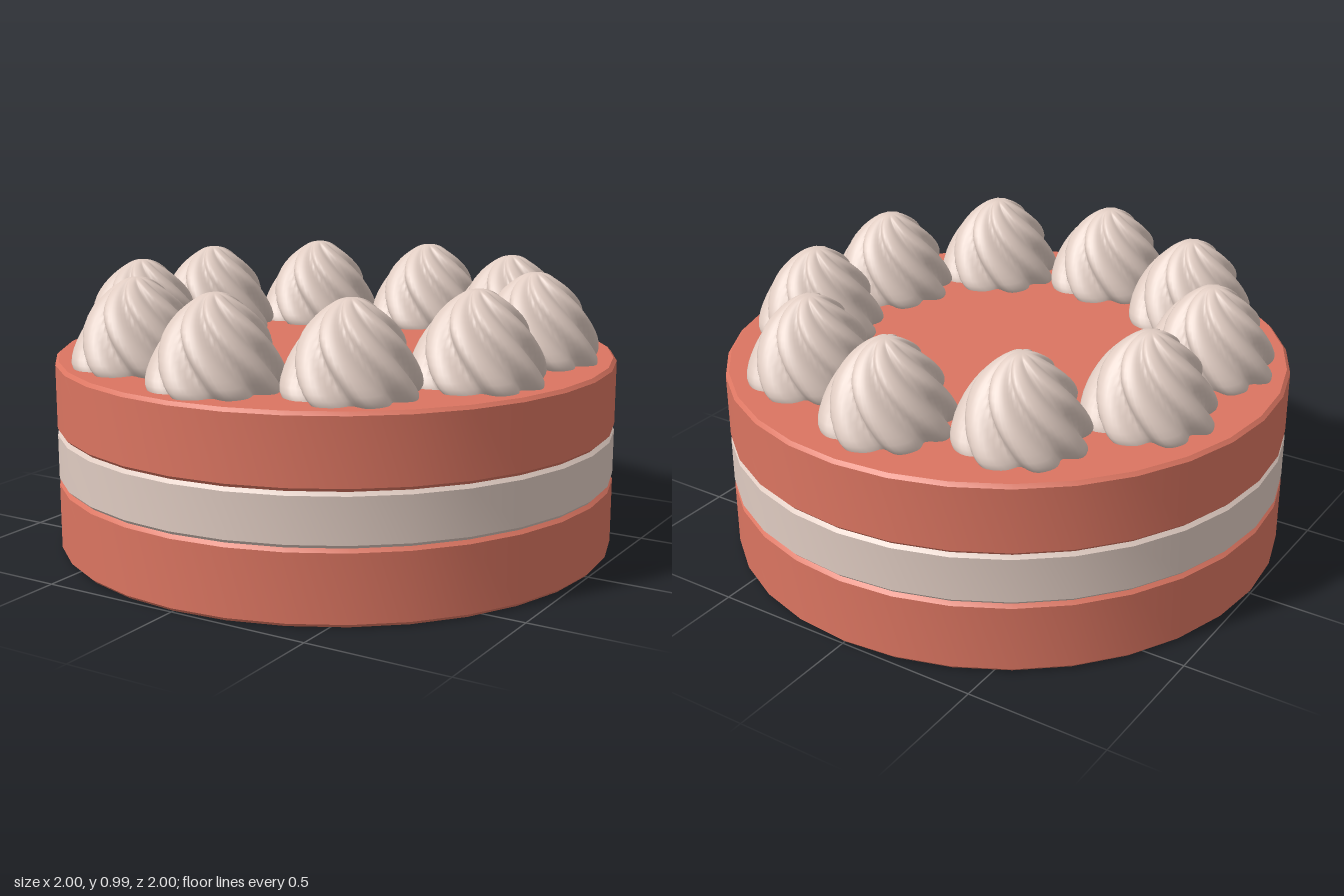
import * as THREE from 'three';
import { mergeVertices, toCreasedNormals } from 'three/addons/utils/BufferGeometryUtils.js';

const sponge = new THREE.MeshStandardMaterial({ color: 0xdb7561 });
sponge.name = 'red sponge';
const cream = new THREE.MeshStandardMaterial({ color: 0xdfcbc1 });
cream.name = 'cream';

// Round cake layer with a small bevel on both rims
function makeLayer(name, y0, y1, material) {
  const b = 0.012;
  const profile = [[0, y0], [1 - b, y0], [1, y0 + b], [1, y1 - b], [1 - b, y1], [0, y1]]
    .map(([r, y]) => new THREE.Vector2(r, y));
  const mesh = new THREE.Mesh(toCreasedNormals(new THREE.LatheGeometry(profile, 32), 0.6), material);
  mesh.name = name;
  return mesh;
}

// Piped swirl: a dome with eight ridges that wind down from the tip
function makeSwirlGeometry() {
  const outline = new THREE.SplineCurve([
    [0.215, -0.01], [0.228, 0.03], [0.205, 0.11], [0.165, 0.19],
    [0.115, 0.25], [0.065, 0.29], [0.03, 0.307], [0, 0.31],
  ].map(([r, y]) => new THREE.Vector2(r, y)));
  const geometry = new THREE.LatheGeometry(outline.getPoints(24), 96);
  const pos = geometry.attributes.position;
  for (let i = 0; i < pos.count; i++) {
    const x = pos.getX(i), y = pos.getY(i), z = pos.getZ(i);
    const r = Math.hypot(x, z);
    const down = 1 - y / 0.31;
    const twist = 0.9 * down + 0.8 * Math.sqrt(Math.max(down, 0));
    const a = 8 * (Math.atan2(x, z) - twist);
    // Broad, slightly leaning ridges with narrow grooves
    const ridge = 0.5 + 0.5 * Math.cos(a - 0.45 * Math.sin(a) + 0.35 * Math.cos(a));
    const depth = 0.2 * Math.min(1, r / 0.06);
    const k = 1.01 - depth * (1 - ridge);
    pos.setXYZ(i, x * k, y, z * k);
  }
  geometry.deleteAttribute('uv');
  geometry.deleteAttribute('normal');
  const merged = mergeVertices(geometry, 1e-5);
  merged.computeVertexNormals();
  return merged;
}

export function createModel() {
  const cake = new THREE.Group();
  cake.name = 'layerCake';
  cake.add(
    makeLayer('bottomSponge', 0, 0.255, sponge),
    makeLayer('creamFilling', 0.255, 0.435, cream),
    makeLayer('topSponge', 0.435, 0.685, sponge),
  );

  // Ring of ten swirls on top
  const ring = new THREE.Group();
  ring.name = 'creamSwirls';
  const swirl = makeSwirlGeometry();
  for (let i = 0; i < 10; i++) {
    const angle = (i / 10) * Math.PI * 2;
    const mesh = new THREE.Mesh(swirl, cream);
    mesh.name = 'creamSwirl' + (i + 1);
    mesh.position.set(0.005 + 0.72 * Math.sin(angle), 0.68, 0.02 + 0.72 * Math.cos(angle));
    ring.add(mesh);
  }
  cake.add(ring);
  return cake;
}
